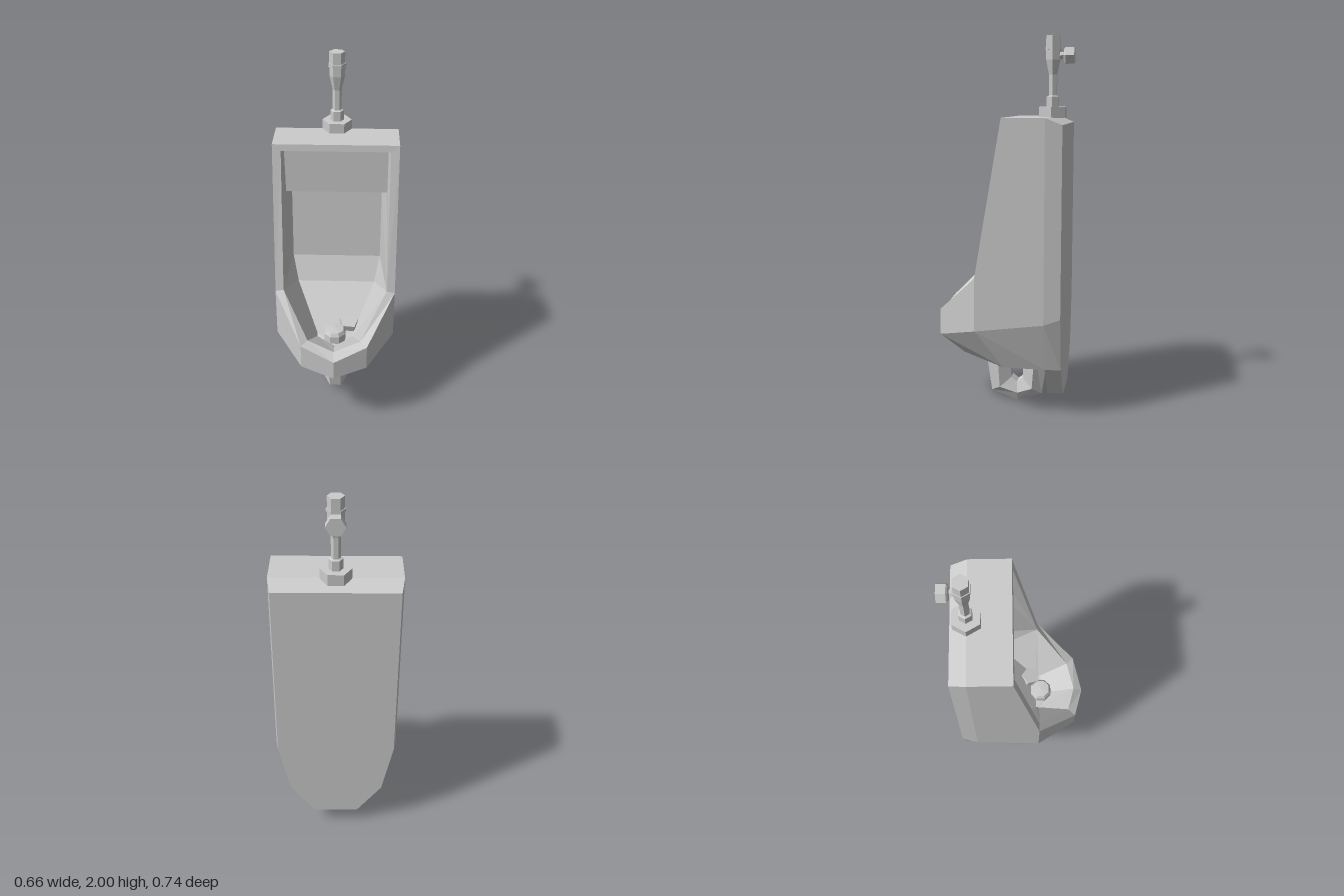
import * as THREE from 'three';

const material = new THREE.MeshStandardMaterial({ color: 0xcccccc, flatShading: true, side: THREE.DoubleSide });

// Flat-sided mesh from convex polygons, each fanned from its first corner
function polyMesh(name, polygons) {
  const pos = [];
  for (const p of polygons)
    for (let i = 1; i < p.length - 1; i++) pos.push(...p[0], ...p[i], ...p[i + 1]);
  const geo = new THREE.BufferGeometry();
  geo.setAttribute('position', new THREE.Float32BufferAttribute(pos, 3));
  geo.computeVertexNormals();
  return named(name, geo);
}

function named(name, geo) {
  const mesh = new THREE.Mesh(geo, material);
  mesh.name = name;
  return mesh;
}

// Adds the x-mirrored copy of every polygon
const mirrored = (polys) => polys.concat(polys.map((p) => p.map(([x, y, z]) => [-x, y, z]).reverse()));
// Point dropped onto the centre plane
const c = ([, y, z]) => [0, y, z];

// Faceted round part standing on the y axis
function turned(name, sides, profile) {
  const pts = profile.map(([r, y]) => new THREE.Vector2(r, y));
  return named(name, new THREE.LatheGeometry(pts, sides, Math.PI / 2));
}

function createBowl(group) {
  // Outer corners: top, rim, belt line, bottom, back plate
  const T0 = [.33, 1.58, -.04], T1 = [.33, 1.58, -.26], T2 = [.315, 1.545, -.345];
  const R0 = [.33, .76, .10], R1 = [.18, .55, .32], R2 = [0, .48, .37];
  const L0 = [.33, .48, .10], L1 = [.18, .41, .32], L2 = [0, .37, .37];
  const L3 = [.33, .53, -.26], L4 = [.315, .56, -.345];
  const B0 = [.26, .27, -.04], B1 = [.13, .30, .2], B2 = [0, .295, .2];
  const B3 = [.26, .27, -.26], B4 = [.255, .27, -.345];
  const P3 = [.125, .09, -.26], P4 = [.12, .09, -.345];
  // Inner corners: rim, upper panel, back wall, floor
  const I0 = [.285, 1.545, -.035], I1 = [.285, .77, .10], I2 = [.145, .56, .28], I3 = [0, .515, .32];
  const J0 = [.275, 1.535, -.10], J1 = [.275, 1.28, -.10];
  const W0 = [.25, 1.23, -.22], W1 = [.25, .82, -.19], W2 = [.22, .68, -.13];
  const F0 = [.1, .465, .09], F1 = [.1, .46, .11], F2 = [0, .46, .195];

  group.add(polyMesh('outerShell', mirrored([
    [T0, R0, L0, L3, T1], [T1, L3, L4, T2],
    [R1, L1, L0, R0], [R2, L2, L1, R1],
    [L1, B1, B0, L0], [L2, B2, B1, L1],
    [L0, B0, B3, L3], [L3, B3, B4, L4],
    [T0, T1, c(T1), c(T0)], [T1, T2, c(T2), c(T1)],
    [B2, c(B3), B3, B0, B1],
  ])));
  group.add(polyMesh('backPlate', mirrored([
    [c(T2), T2, L4, B4, P4, c(P4)],
    [B3, P3, P4, B4],
    [c(P3), c(P4), P4, P3], [c(B3), c(P3), P3, B3],
  ])));
  group.add(polyMesh('rim', mirrored([
    [c(I0), I0, T0, c(T0)], [T0, I0, I1, R0], [R0, I1, I2, R1], [R1, I2, I3, R2],
  ])));
  group.add(polyMesh('basin', mirrored([
    [I1, I0, J0, J1, W0, W1],
    [c(I0), c(J0), J0, I0], [c(J0), c(J1), J1, J0], [c(J1), c(W0), W0, J1],
    [c(W0), c(W1), W1, W0], [c(W1), c(W2), W2, W1], [c(W2), c(F0), F0, W2],
    [I1, W1, W2], [I1, W2, F0], [I1, F0, F1], [I1, F1, I2],
    [I2, F1, F2, I3], [c(F0), F2, F1, F0],
  ])));
}

// U-bend: six-sided section swept along outer, middle and inner lines (z, y)
function createTrap() {
  const outer = [[.10, .3], [.065, .055], [-.08, .005], [-.215, .05], [-.255, .3]];
  const middle = [[.03, .3], [.015, .085], [-.08, .052], [-.165, .085], [-.18, .3]];
  const inner = [[-.04, .31], [-.045, .135], [-.078, .11], [-.11, .135], [-.115, .31]];
  const rings = outer.map((_, i) => {
    const at = (line, x) => [x, line[i][1], line[i][0]];
    const w = i === 2 ? .055 : .067;
    return [at(outer, -.033), at(outer, .033), at(middle, w),
      at(inner, .033), at(inner, -.033), at(middle, -w)];
  });
  const polys = [];
  for (let i = 0; i < rings.length - 1; i++)
    for (let k = 0; k < 6; k++) {
      const n = (k + 1) % 6;
      polys.push([rings[i][k], rings[i + 1][k], rings[i + 1][n], rings[i][n]]);
    }
  return polyMesh('trap', polys);
}

// Supply pipe with its flange and valve knob
function createValve() {
  const valve = new THREE.Group();
  valve.name = 'flushValve';
  valve.position.z = -.26;
  valve.add(turned('flange', 6, [[0, 1.575], [.079, 1.575], [.079, 1.632], [0, 1.632]]));
  valve.add(turned('supplyPipe', 6, [
    [.036, 1.63], [.036, 1.685], [.024, 1.69], [.024, 1.80], [.041, 1.875], [.041, 1.925],
    [.046, 1.925], [.046, 1.94], [.041, 1.94], [.041, 2], [0, 2],
  ]));
  const knob = turned('knob', 6, [
    [0, 0], [.02, 0], [.02, .055], [.04, .06], [.048, .068], [.048, .113], [0, .113],
  ]);
  knob.rotation.x = -Math.PI / 2;
  knob.position.y = 1.897;
  valve.add(knob);
  return valve;
}

export function createModel() {
  const model = new THREE.Group();
  model.name = 'urinal';
  createBowl(model);
  model.add(createTrap(), createValve());

  // Loose parts lying in the basin
  const drain = turned('drainCover', 8, [[.064, 0], [.064, .05], [.052, .07], [0, .075]]);
  drain.position.set(0, .455, .12);
  drain.rotation.y = Math.PI / 8;
  const cake = turned('deodorantBlock', 5, [[0, 0], [.055, 0], [.055, .04], [0, .04]]);
  cake.position.set(.075, .50, .05);
  cake.rotation.set(.3, .3, -.1);
  model.add(drain, cake);
  return model;
}
